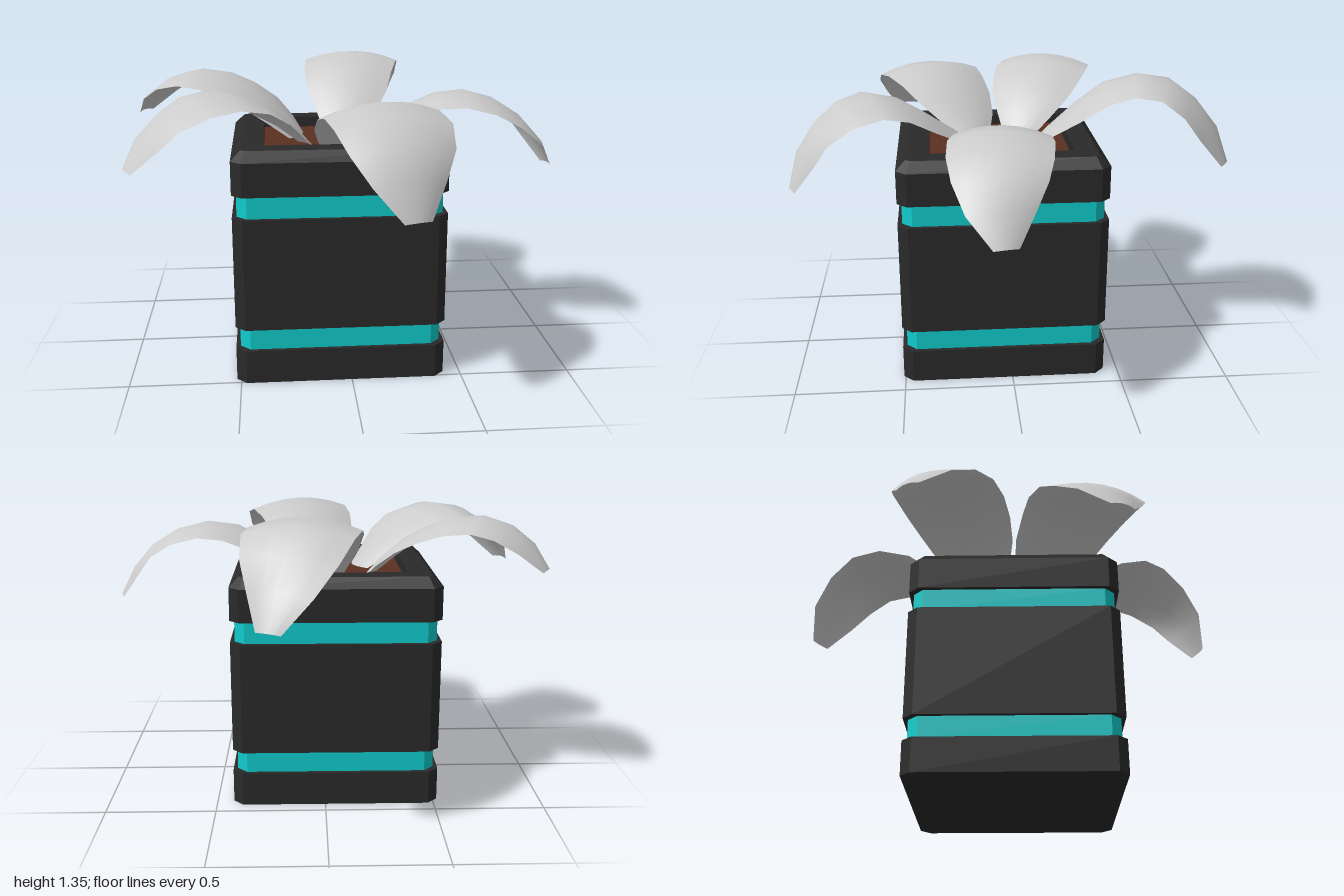
import * as THREE from 'three';

const paint = (color, extra = {}) => new THREE.MeshStandardMaterial({ color, ...extra });

// Square with cut corners, counter-clockwise seen from above
function section(h, c, y) {
  const k = h - c;
  return [[h, -k], [h, k], [k, h], [-k, h], [-h, k], [-h, -k], [-k, -h], [k, -h]]
    .map(([x, v]) => new THREE.Vector3(x, y, -v));
}

// Faceted solid through rings of [half width, corner cut, height]
function block(name, rings, material) {
  const loops = rings.map(([h, c, y]) => section(h, c, y));
  const points = [];
  for (let i = 0; i < loops.length - 1; i++) {
    for (let j = 0; j < 8; j++) {
      const n = (j + 1) % 8;
      const [a, b, c, d] = [loops[i][j], loops[i][n], loops[i + 1][n], loops[i + 1][j]];
      points.push(a, b, c, a, c, d);
    }
  }
  const geometry = new THREE.BufferGeometry().setFromPoints(points);
  geometry.computeVertexNormals();
  const mesh = new THREE.Mesh(geometry, material);
  mesh.name = name;
  return mesh;
}

// Closed straight block
const slab = (name, h, y0, y1, material) =>
  block(name, [[0, 0, y0], [h, 0.045, y0], [h, 0.045, y1], [0, 0, y1]], material);

// Half widths of a leaf from base to tip
const LEAF_WIDTH = [0.075, 0.15, 0.21, 0.24, 0.255, 0.25, 0.22, 0.16, 0.06];

// Arched leaf blade along a midrib
function leaf(name, midrib, scale, material) {
  const curve = new THREE.CatmullRomCurve3(midrib.map(p => new THREE.Vector3(...p)));
  const rows = LEAF_WIDTH.length - 1, cols = 6;
  const geometry = new THREE.PlaneGeometry(1, 1, cols, rows);
  const pos = geometry.attributes.position;
  const up = new THREE.Vector3(0, 1, 0);
  for (let i = 0; i <= rows; i++) {
    const p = curve.getPointAt(i / rows), t = curve.getTangentAt(i / rows);
    const side = new THREE.Vector3().crossVectors(up, t).normalize();
    const normal = new THREE.Vector3().crossVectors(t, side);
    const w = LEAF_WIDTH[i] * scale;
    for (let j = 0; j <= cols; j++) {
      const u = (j / cols) * 2 - 1;
      const v = p.clone().addScaledVector(side, u * w).addScaledVector(normal, -0.2 * w * u * u);
      pos.setXYZ(i * (cols + 1) + j, v.x, v.y, v.z);
    }
  }
  geometry.computeVertexNormals();
  const mesh = new THREE.Mesh(geometry, material);
  mesh.name = name;
  return mesh;
}

export function createModel() {
  const model = new THREE.Group();
  const dark = paint(0x2a2a2a), teal = paint(0x10cccc), brown = paint(0x5a3020);
  const grey = paint(0xcccccc, { side: THREE.DoubleSide });

  // Square planter: dark blocks with recessed bands between them
  const pot = new THREE.Group();
  pot.name = 'planter';
  pot.position.set(-0.048, 0, 0.036);
  pot.add(
    slab('base', 0.472, 0, 0.155, dark),
    slab('lowerBand', 0.452, 0.155, 0.255, teal),
    slab('body', 0.472, 0.255, 0.765, dark),
    slab('upperBand', 0.452, 0.765, 0.865, teal),
    // Rim with bevelled top edge and a square opening
    block('rim', [[0, 0, 0.865], [0.472, 0.045, 0.865], [0.472, 0.045, 1.015],
      [0.427, 0.02, 1.06], [0.325, 0, 1.06], [0.325, 0, 0.98]], dark),
  );

  // Soil
  const soil = new THREE.Mesh(new THREE.BoxGeometry(0.65, 0.1, 0.65), brown);
  soil.name = 'soil';
  soil.position.y = 0.96;
  pot.add(soil);
  model.add(pot);

  // Five drooping leaves: midrib points from base to tip, then width scale
  const leaves = {
    leftLeaf: [[[0.06, 1.0, 0.01], [0.25, 1.14, 0.02], [0.5, 1.24, 0.055], [0.75, 1.18, 0.08],
      [0.9, 1.04, 0.085], [0.98, 0.89, 0.07]], 0.87],
    backLeaf: [[[0.0, 0.99, -0.09], [0.04, 1.17, -0.27], [0.07, 1.33, -0.5], [0.12, 1.34, -0.72],
      [0.18, 1.19, -0.9], [0.235, 0.97, -1.0]], 0.94],
    rightBackLeaf: [[[-0.19, 1.0, -0.07], [-0.35, 1.18, -0.14], [-0.56, 1.29, -0.22],
      [-0.735, 1.3, -0.285], [-0.88, 1.22, -0.35], [-0.975, 1.09, -0.4]], 0.94],
    rightFrontLeaf: [[[-0.15, 1.0, 0.13], [-0.29, 1.15, 0.19], [-0.51, 1.29, 0.31],
      [-0.7, 1.27, 0.39], [-0.85, 1.16, 0.44], [-0.96, 0.99, 0.49]], 0.97],
    frontLeaf: [[[-0.04, 1.0, 0.13], [0.02, 1.14, 0.31], [0.09, 1.28, 0.55], [0.14, 1.27, 0.72],
      [0.18, 1.12, 0.9], [0.21, 0.89, 0.99]], 1],
  };
  for (const [name, [midrib, scale]] of Object.entries(leaves)) {
    model.add(leaf(name, midrib, scale, grey));
  }
  return model;
}
